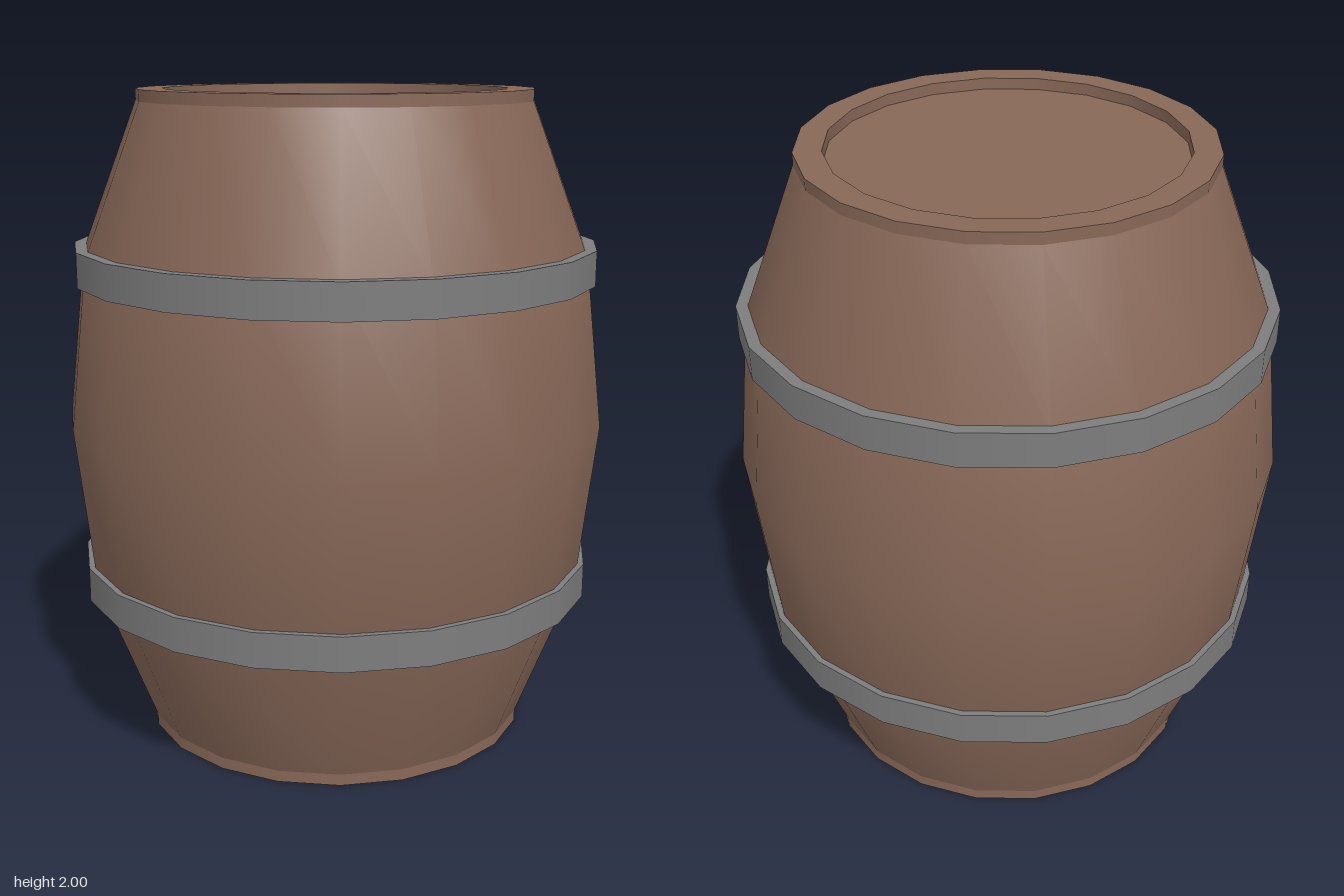
import * as THREE from 'three';

const SIDES = 20;

export function createModel() {
  const barrel = new THREE.Group();
  barrel.name = 'barrel';

  const wood = new THREE.MeshStandardMaterial({ color: 0x886858 });
  wood.name = 'brown wood';
  const iron = new THREE.MeshStandardMaterial({ color: 0x7d7d7d });
  iron.name = 'grey iron';

  // Turned part from a [radius, y] profile, running counter-clockwise
  const turned = (name, profile, material, parent) => {
    const points = profile.map(([r, y]) => new THREE.Vector2(r, y));
    const mesh = new THREE.Mesh(new THREE.LatheGeometry(points, SIDES), material);
    mesh.name = name;
    parent.add(mesh);
  };

  // Each profile segment becomes its own strip, so edges between strips stay sharp
  const sharpTurned = (name, profile, material) => {
    const part = new THREE.Group();
    part.name = name;
    for (let i = 0; i < profile.length - 1; i++) {
      turned(`${name}Face${i + 1}`, [profile[i], profile[i + 1]], material, part);
    }
    barrel.add(part);
  };

  // Bulging body
  turned('staves', [[0.605, 0.035], [0.78, 0.49], [0.837, 1], [0.78, 1.51], [0.605, 1.965]], wood, barrel);

  // Rims with recessed heads at both ends
  sharpTurned('bottomEnd', [[0, 0.035], [0.523, 0.035], [0.523, 0], [0.605, 0], [0.605, 0.035]], wood);
  sharpTurned('topEnd', [[0.605, 1.965], [0.605, 2], [0.523, 2], [0.523, 1.965], [0, 1.965]], wood);

  // Iron hoops
  for (const [name, y] of [['lowerHoop', 0.503], ['upperHoop', 1.482]]) {
    const h = 0.053;
    sharpTurned(name, [[0.755, y - h], [0.806, y - h], [0.806, y + h], [0.755, y + h]], iron);
  }

  return barrel;
}
